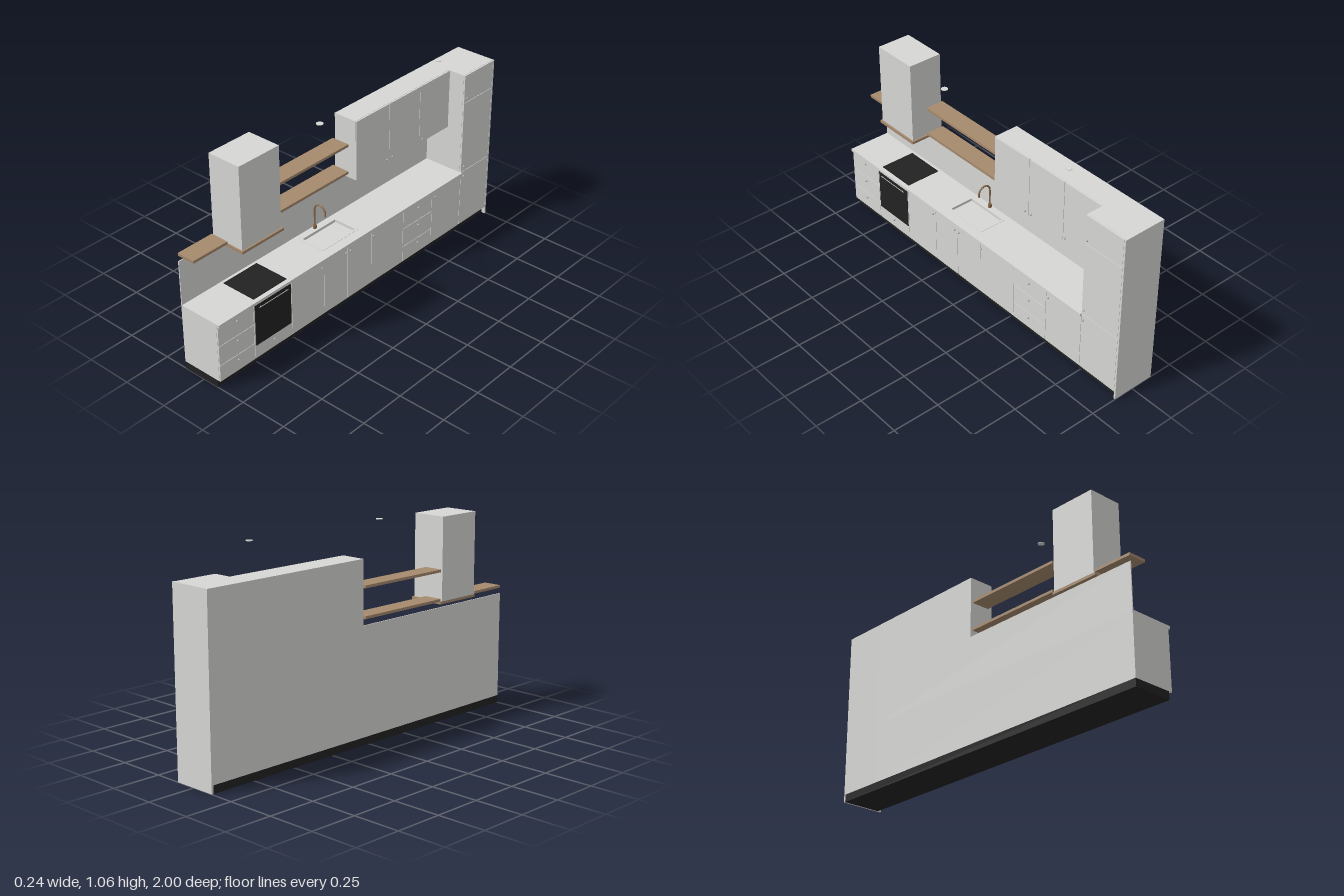
import * as THREE from 'three';

export function createModel() {
  const root = new THREE.Group();
  root.name = 'kitchen';
  const mat = (name, color) => {
    const m = new THREE.MeshStandardMaterial({ color });
    m.name = name;
    return m;
  };
  const white = mat('cabinet white', 0xd6d6d4);
  const wood = mat('wood', 0xa5896c);
  const black = mat('black', 0x222222);
  const copper = mat('copper', 0x8a6a4a);
  const steel = mat('steel', 0xb4b4b4);

  const add = (name, geo, material, parent = root) => {
    const m = new THREE.Mesh(geo, material);
    m.name = name;
    parent.add(m);
    return m;
  };
  // Box given by its limits on each axis
  const box = (name, x0, x1, y0, y1, z0, z1, material, parent) => {
    const m = add(name, new THREE.BoxGeometry(x1 - x0, y1 - y0, z1 - z0), material, parent);
    m.position.set((x0 + x1) / 2, (y0 + y1) / 2, (z0 + z1) / 2);
    return m;
  };

  const BACK = -0.123, FRONT = 0.109, GAP = 0.0012;
  const TALL = -0.757; // where the tall cabinet begins

  // Carcasses and plinth
  box('plinth', BACK, 0.089, 0, 0.04, -0.99, 1, black);
  box('baseCarcass', BACK, FRONT - 0.008, 0.04, 0.345, TALL, 1, white);
  box('tallCarcass', BACK, FRONT - 0.008, 0.04, 0.92, -0.99, TALL, white);
  box('tallEndPanel', BACK, FRONT, 0, 0.92, -1, -0.99, white);
  box('wallCarcass', BACK, 0.006, 0.597, 0.92, TALL, -0.04, white);
  box('backsplash', BACK, -0.118, 0.36, 0.597, TALL, 1, white);

  // Door and drawer fronts: [z0, z1, y0, y1]
  const front = (name, x, [z0, z1, y0, y1]) =>
    box(name, x - 0.008, x, y0 + GAP, y1 - GAP, z0 + GAP, z1 - GAP, white);
  const rows = [[0.04, 0.13], [0.13, 0.237], [0.237, 0.345]];
  for (const [z0, z1] of [[0.775, 1], [-0.52, -0.29]])
    for (const [y0, y1] of rows) front('drawerFront', FRONT, [z0, z1, y0, y1]);
  const seams = [0.525, 0.3, 0.13, -0.045, -0.29];
  for (let i = 0; i < 4; i++) front('baseDoor', FRONT, [seams[i + 1], seams[i], 0.04, 0.345]);
  front('baseDoor', FRONT, [TALL, -0.52, 0.04, 0.345]);
  front('ovenDrawer', FRONT, [0.525, 0.775, 0.04, 0.112]);
  front('ovenSurround', FRONT, [0.525, 0.775, 0.112, 0.345]);
  for (const [y0, y1] of [[0.04, 0.36], [0.36, 0.765], [0.765, 0.92]])
    front('tallDoor', FRONT, [-0.99, TALL, y0, y1]);
  for (const [z0, z1] of [[-0.285, -0.04], [-0.52, -0.285], [TALL, -0.52]])
    front('wallDoor', 0.014, [z0, z1, 0.597, 0.92]);

  // Round knobs: [z, y]
  const knobGeo = new THREE.SphereGeometry(0.0055, 14, 10);
  const knobs = (x, list) => list.forEach(([z, y]) =>
    add('knob', knobGeo, steel).position.set(x + 0.006, y, z));
  knobs(FRONT, [
    [0.885, 0.32], [0.885, 0.212], [0.885, 0.104], [0.65, 0.088],
    [0.318, 0.315], [0.147, 0.315], [0.115, 0.315], [-0.056, 0.315],
    [-0.405, 0.315], [-0.405, 0.212], [-0.405, 0.104], [-0.54, 0.315],
    [-0.775, 0.333], [-0.775, 0.392], [-0.775, 0.79],
  ]);
  knobs(0.014, [[-0.265, 0.618], [-0.305, 0.618], [-0.54, 0.618]]);

  // Rectangle drawn in x and -z, wound either way
  const rect = (P, x0, x1, z0, z1) => new P([[x0, -z1], [x1, -z1], [x1, -z0], [x0, -z0]]
    .map(p => new THREE.Vector2(...p)));
  const slab = (outer, hole, h) => {
    const s = rect(THREE.Shape, ...outer);
    s.holes.push(rect(THREE.Path, ...hole));
    return new THREE.ExtrudeGeometry(s, { depth: h, bevelEnabled: false }).rotateX(-Math.PI / 2);
  };

  // Countertop with an inset sink
  const bowl = [-0.078, 0.053, 0.012, 0.244];
  add('countertop', slab([BACK, 0.118, TALL, 1], bowl, 0.015), white).position.y = 0.345;
  add('sinkRim', slab([-0.09, 0.064, 0, 0.256], bowl, 0.0015), white).position.y = 0.36;
  box('sinkFloor', bowl[0], bowl[1], 0.345, 0.347, bowl[2], bowl[3], white);

  // Tap with a swan neck
  const tap = new THREE.Group();
  tap.name = 'tap';
  tap.position.set(-0.103, 0.36, 0.132);
  root.add(tap);
  add('tapBase', new THREE.CylinderGeometry(0.01, 0.01, 0.017, 20), copper, tap).position.y = 0.0085;
  const neck = [new THREE.Vector3(0, 0, 0), new THREE.Vector3(0, 0.05, 0)];
  for (let i = 0; i <= 10; i++) {
    const a = Math.PI * (1 - i / 10);
    neck.push(new THREE.Vector3(0.035 + 0.035 * Math.cos(a), 0.107 + 0.035 * Math.sin(a), 0));
  }
  neck.push(new THREE.Vector3(0.07, 0.092, 0));
  add('tapNeck', new THREE.TubeGeometry(new THREE.CatmullRomCurve3(neck), 48, 0.0045, 12), copper, tap);
  const tip = add('tapTip', new THREE.CircleGeometry(0.0045, 12).rotateX(Math.PI / 2), copper, tap);
  tip.position.set(0.07, 0.092, 0);

  // Hob and oven
  box('hob', -0.1, 0.094, 0.36, 0.363, 0.54, 0.757, black);
  box('ovenDoor', FRONT, 0.112, 0.114, 0.34, 0.532, 0.767, black);
  const bar = add('ovenHandle', new THREE.CylinderGeometry(0.002, 0.002, 0.19, 10).rotateX(Math.PI / 2), steel);
  bar.position.set(0.117, 0.32, 0.649);
  for (const z of [0.565, 0.733]) box('handlePost', 0.112, 0.117, 0.3185, 0.3215, z - 0.002, z + 0.002, steel);

  // Extractor hood and shelves
  box('hood', BACK, 0.061, 0.625, 1.055, 0.532, 0.782, white);
  box('hoodBase', BACK, 0.07, 0.611, 0.625, 0.522, 0.789, wood);
  box('endShelf', BACK, -0.024, 0.626, 0.64, 0.79, 0.998, wood);
  for (const y of [0.626, 0.776]) box('shelf', BACK, -0.024, y, y + 0.014, -0.026, 0.521, wood);

  // Ceiling spotlights
  for (const z of [0.267, -0.59])
    add('spotlight', new THREE.CylinderGeometry(0.017, 0.017, 0.003, 24), white).position.set(0.062, 1.0545, z);

  return root;
}
